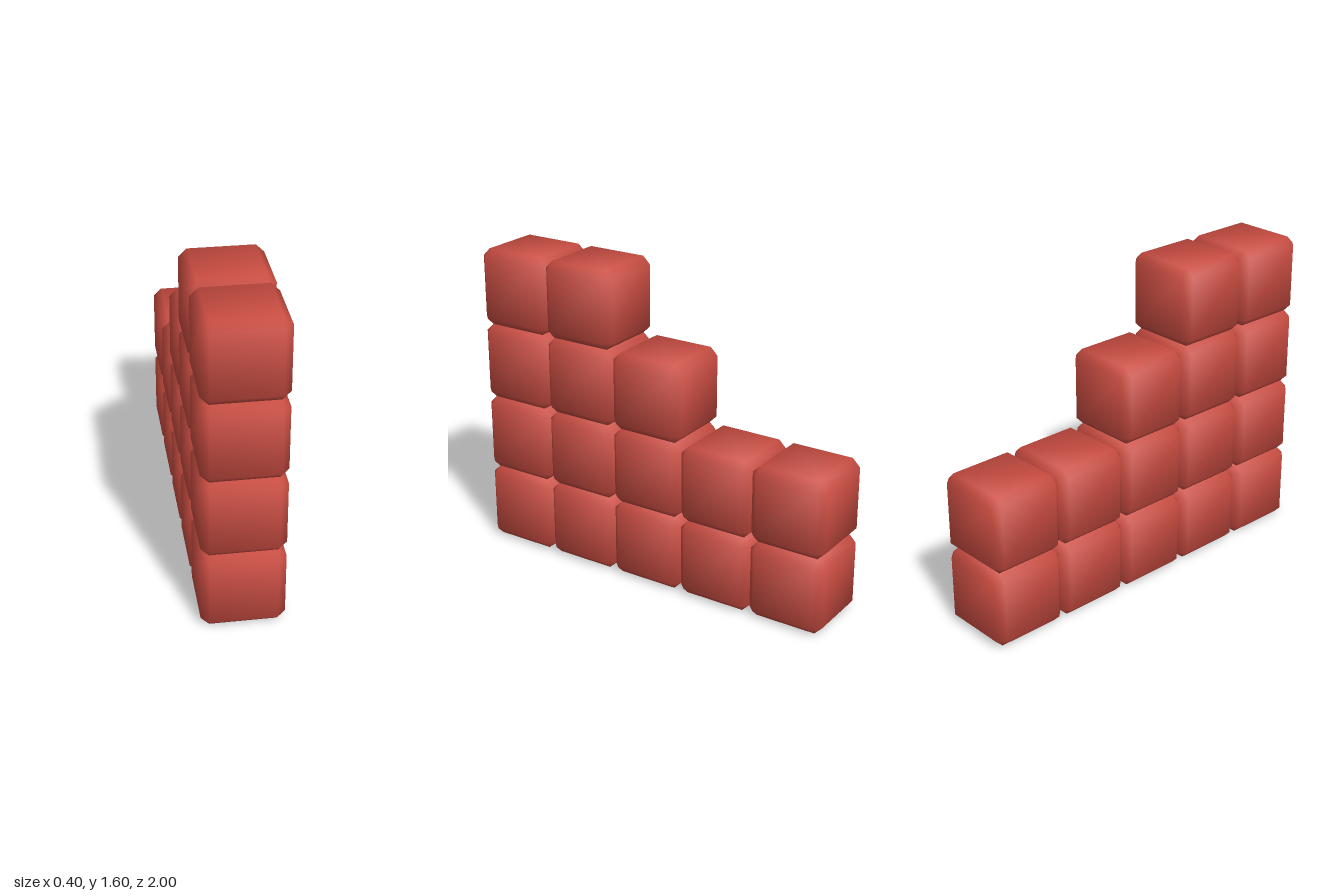
import * as THREE from 'three';
import { ConvexGeometry } from 'three/addons/geometries/ConvexGeometry.js';

const SIZE = 0.4, HALF = SIZE / 2, BEVEL = 0.04;

// Cube with every edge and corner chamfered, shaded softly across the bevels
function bevelledCube() {
  const inner = HALF - BEVEL;
  const points = [];
  for (const x of [-1, 1]) for (const y of [-1, 1]) for (const z of [-1, 1]) {
    points.push(
      new THREE.Vector3(x * HALF, y * inner, z * inner),
      new THREE.Vector3(x * inner, y * HALF, z * inner),
      new THREE.Vector3(x * inner, y * inner, z * HALF)
    );
  }
  const geometry = new ConvexGeometry(points);

  // Each normal averages its face, two edge chamfers and the corner chamfer
  const { position, normal } = geometry.attributes;
  const tilt = (v) => Math.sign(v) * (Math.abs(v) > HALF - BEVEL / 2 ? 2.99 : 1.28);
  const n = new THREE.Vector3();
  for (let i = 0; i < position.count; i++) {
    n.set(tilt(position.getX(i)), tilt(position.getY(i)), tilt(position.getZ(i))).normalize();
    normal.setXYZ(i, n.x, n.y, n.z);
  }
  return geometry;
}

export function createModel() {
  const model = new THREE.Group();
  model.name = 'steppedBlockWall';
  const geometry = bevelledCube();
  const material = new THREE.MeshStandardMaterial({ color: 0xc94c41 });

  // Column heights in blocks, from the front to the back
  [4, 4, 3, 2, 2].forEach((height, column) => {
    const stack = new THREE.Group();
    stack.name = `column${column + 1}`;
    stack.position.z = 1 - HALF - column * SIZE;
    for (let row = 0; row < height; row++) {
      const block = new THREE.Mesh(geometry, material);
      block.name = `block${row + 1}`;
      block.position.y = HALF + row * SIZE;
      stack.add(block);
    }
    model.add(stack);
  });
  return model;
}
